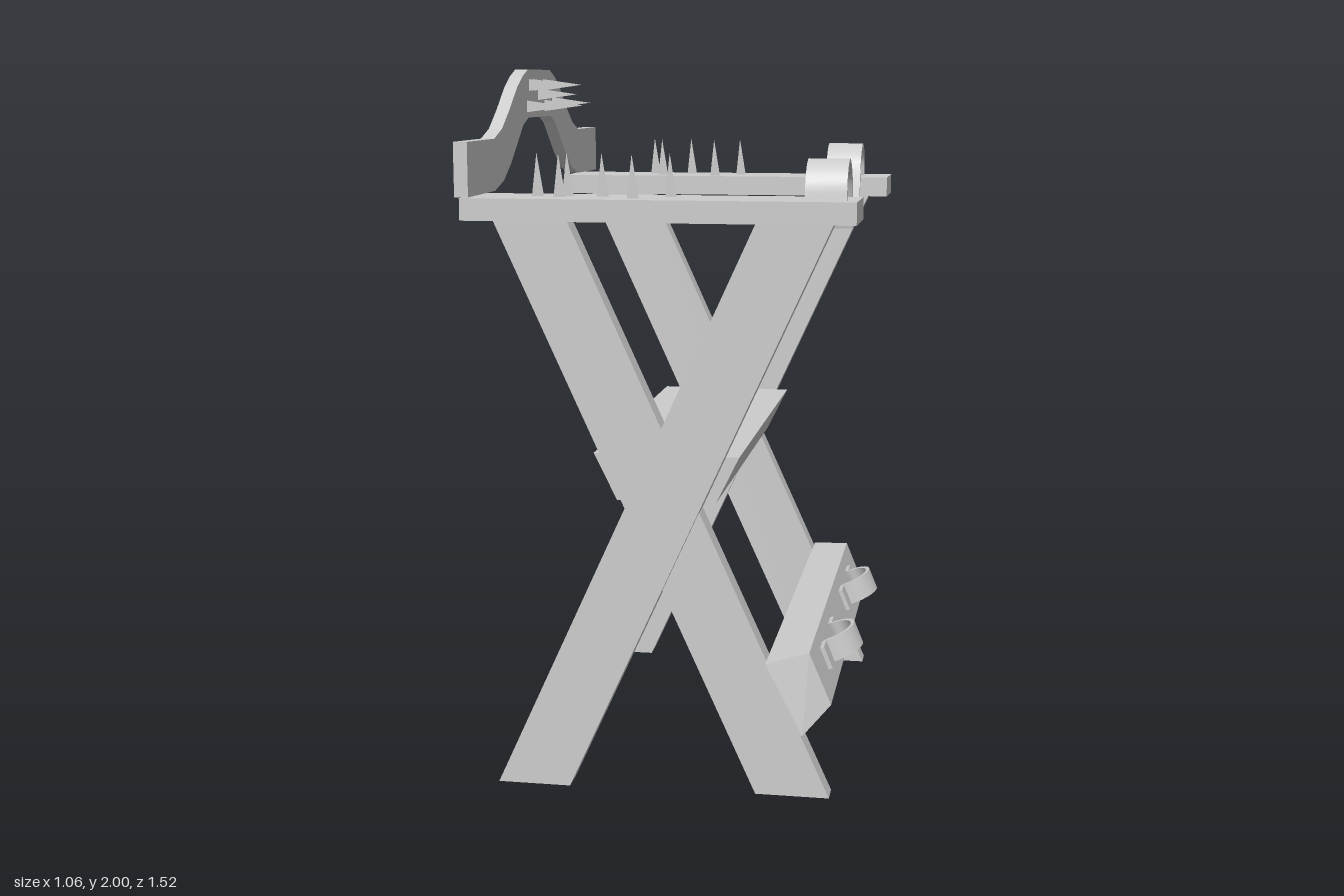
import * as THREE from 'three';
import { toCreasedNormals } from 'three/addons/utils/BufferGeometryUtils.js';
import { ConvexGeometry } from 'three/addons/geometries/ConvexGeometry.js';

const V2 = (p) => new THREE.Vector2(p[0], p[1]);
const flat = new THREE.MeshStandardMaterial({ color: 0xcccccc, flatShading: true });
const smooth = new THREE.MeshStandardMaterial({ color: 0xcccccc, side: THREE.DoubleSide });

// Prism from a 2D outline, extruded along +z
function prism(points, depth) {
  return new THREE.ExtrudeGeometry(new THREE.Shape(points.map(V2)), { depth, bevelEnabled: false });
}

// Flat band of even thickness following a 2D path, centred across its width
function band(path, thickness, width) {
  const inner = path.map((p, i) => {
    const a = path[Math.max(i - 1, 0)], b = path[Math.min(i + 1, path.length - 1)];
    const t = b.clone().sub(a).normalize();
    return [p.x + t.y * thickness, p.y - t.x * thickness];
  });
  const outer = path.map((p) => [p.x, p.y]);
  const geo = prism([...outer, ...inner.reverse()], width).translate(0, 0, -width / 2);
  return toCreasedNormals(geo, 0.6);
}

export function createModel() {
  const model = new THREE.Group();
  const add = (name, geo, mat = flat, parent = model) => {
    const mesh = new THREE.Mesh(geo, mat);
    mesh.name = name;
    parent.add(mesh);
    return mesh;
  };

  // Crossed legs: the rear pair is a shifted copy of the front pair
  const legOutline = (s) => [[-0.47 * s, 0], [-0.263 * s, 0], [0.467 * s, 1.6], [0.26 * s, 1.6]];
  for (const [side, dz] of [['left', 0], ['right', -1.21]]) {
    add(side + 'RisingLeg', prism(legOutline(1), 0.07).translate(0, 0, 0.58 + dz));
    add(side + 'FallingLeg', prism(legOutline(-1), 0.065).translate(0, 0, 0.557 + dz));
  }

  // Seat wedged into the upper V of the legs
  add('seat', prism([[-0.14, 0.815], [0.14, 0.815], [0.205, 0.947], [-0.205, 0.947]], 1.115)
    .translate(0, 0, -0.557));

  // Armrests
  for (const s of [1, -1]) {
    add('armrest', new THREE.BoxGeometry(1.06, 0.06, 0.225).translate(0, 1.63, 0.6 * s));
  }

  // Arched back board
  const top = [[0.76, 1.81], [0.5, 1.81], [0.42, 1.835], [0.34, 1.885], [0.25, 1.95], [0.19, 1.98], [0.13, 2]];
  const bottom = [[0.13, 1.86], [0.19, 1.84], [0.25, 1.795], [0.33, 1.735], [0.41, 1.69], [0.5, 1.667], [0.76, 1.665]];
  const flip = (pts) => pts.map(([z, y]) => [-z, y]).reverse();
  add('backBoard', prism([...top, ...flip(top), ...flip(bottom), ...bottom], 0.038)
    .rotateY(-Math.PI / 2).translate(-0.49, 0, 0));

  // Three-sided spikes on the armrests
  const armSpikes = [
    [-0.26, -0.645], [-0.135, -0.64], [-0.22, -0.565], [0.035, -0.605], [-0.04, -0.53],
    [-0.35, 0.58], [-0.27, 0.565], [-0.28, 0.62], [-0.17, 0.58], [-0.075, 0.64], [0.015, 0.57],
  ];
  for (const [x, z] of armSpikes) {
    add('armSpike', new THREE.ConeGeometry(0.02, 0.12, 3).rotateY(Math.PI / 2).translate(x, 1.717, z));
  }

  // Spikes on the back board, pointing towards the sitter
  const backSpikes = [
    [0.135, 1.893], [0.11, 1.955], [0.06, 1.955], [0.005, 1.927],
    [-0.055, 1.955], [-0.07, 1.893], [-0.165, 1.9],
  ];
  for (const [z, y] of backSpikes) {
    add('backSpike', new THREE.ConeGeometry(0.02, 0.12, 3)
      .rotateY(Math.PI).rotateZ(-Math.PI / 2).translate(-0.432, y, z));
  }

  // Wrist straps curving over the armrests, each with a small stud
  const strap = [[0.665, 1.66], [0.655, 1.71], [0.622, 1.75], [0.575, 1.766],
    [0.53, 1.75], [0.49, 1.71], [0.468, 1.65], [0.45, 1.575]];
  for (const [name, s, x] of [['left', 1, 0.445], ['right', -1, 0.39]]) {
    const cuff = new THREE.Group();
    cuff.name = name + 'WristStrap';
    const path = new THREE.SplineCurve((s > 0 ? flip(strap).map(([z, y]) => [-z, y]) : flip(strap)).map(V2)).getPoints(28);
    // keep the path running towards +z so the thickness lies on the underside
    if (path[0].x > path[path.length - 1].x) path.reverse();
    add('strap', band(path, 0.012, 0.11).rotateY(-Math.PI / 2).translate(x, 0, 0), smooth, cuff);
    add('stud', new THREE.CylinderGeometry(0.014, 0.014, 0.03, 10)
      .rotateX(Math.PI / 2).translate(x, 1.63, 0.455 * s), flat, cuff);
    model.add(cuff);
  }

  // Foot board with bevelled ends, resting on the falling legs
  const corners = [[0.293, 0.392, 0.665], [0.383, 0.192, 0.665], [0.397, 0.19, 0.665],
    [0.408, 0.41, 0.605], [0.47, 0.262, 0.6]];
  const boardPoints = [];
  for (const s of [1, -1]) {
    for (const [x, y, z] of corners) boardPoints.push(new THREE.Vector3(x, y, z * s - 0.01));
  }
  add('footBoard', new ConvexGeometry(boardPoints));

  // Ankle cuffs: half rings with flat flanges
  const normal = new THREE.Vector3(0.925, 0.38, 0).normalize();
  const along = new THREE.Vector3(0, 0, 1);
  const basis = new THREE.Matrix4().makeBasis(along, normal, along.clone().cross(normal));
  const arch = [[-0.15, 0.012], [-0.088, 0.012]];
  for (let i = 0; i <= 16; i++) {
    const a = Math.PI * (1 - i / 16);
    arch.push([0.087 * Math.cos(a), 0.018 + 0.074 * Math.sin(a)]);
  }
  arch.push([0.088, 0.012], [0.15, 0.012]);
  for (const s of [1, -1]) {
    const geo = band(arch.map(V2), 0.012, 0.068);
    geo.applyMatrix4(basis).translate(0.436, 0.345, 0.292 * s);
    add(s > 0 ? 'leftAnkleCuff' : 'rightAnkleCuff', geo, smooth);
  }

  return model;
}
